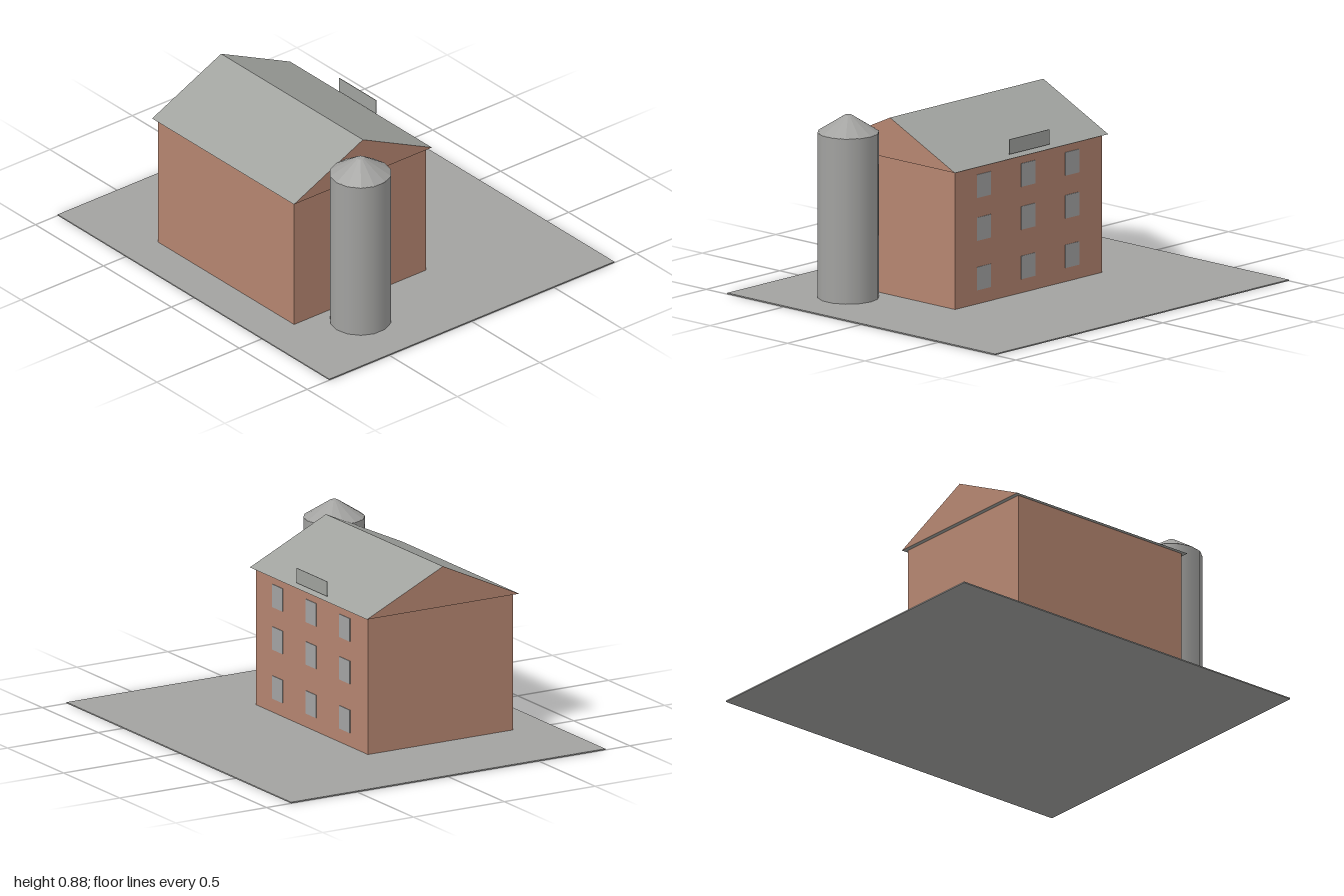
import * as THREE from 'three';

const mat = (name, color) => {
  const m = new THREE.MeshStandardMaterial({ color });
  m.name = name;
  return m;
};

export function createModel() {
  const brick = mat('brick', 0xb58570);
  const roofGrey = mat('roof grey', 0xa0a29e);
  const concrete = mat('concrete', 0xa2a2a0);
  const metal = mat('silo metal', 0xa2a2a0);
  const glass = mat('window grey', 0xa4a4a4);

  const model = new THREE.Group();
  const add = (name, geometry, material, x, y, z, parent = model) => {
    const mesh = new THREE.Mesh(geometry, material);
    mesh.name = name;
    mesh.position.set(x, y, z);
    parent.add(mesh);
    return mesh;
  };

  // Yard slab
  add('ground', new THREE.BoxGeometry(2, 0.006, 1.73), concrete, 0, 0.003, 0);

  // Main building
  const midZ = 0.267, backZ = -0.133, wallTop = 0.672;
  add('walls', new THREE.BoxGeometry(1, wallTop - 0.006, 0.8), brick, 0, (wallTop + 0.006) / 2, midZ);

  // Gabled roof: brick ends, grey slopes
  const gable = new THREE.Shape([
    new THREE.Vector2(-0.419, 0),
    new THREE.Vector2(0.419, 0),
    new THREE.Vector2(0, 0.196),
  ]);
  const roofGeo = new THREE.ExtrudeGeometry(gable, { depth: 1.044, bevelEnabled: false });
  roofGeo.translate(0, 0, -0.522).rotateY(Math.PI / 2);
  add('roof', roofGeo, [brick, roofGrey], 0, wallTop, midZ);

  // Three rows of windows on the back wall
  const windows = new THREE.Group();
  windows.name = 'backWindows';
  model.add(windows);
  const pane = new THREE.BoxGeometry(0.095, 0.112, 0.004);
  for (const y of [0.128, 0.367, 0.574]) {
    for (const x of [-0.295, 0.005, 0.305]) add('window', pane, glass, x, y, backZ - 0.001, windows);
  }

  // Thin board above the back eave
  add('roofBoard', new THREE.BoxGeometry(0.272, 0.072, 0.003), roofGrey, -0.003, 0.725, backZ - 0.001);

  // Silo with a blunt conical cap
  const silo = new THREE.Group();
  silo.name = 'silo';
  silo.position.set(0.665, 0, 0.4);
  model.add(silo);
  add('siloBody', new THREE.CylinderGeometry(0.145, 0.145, 0.8, 14), metal, 0, 0.403, 0, silo);
  const cap = new THREE.CylinderGeometry(0.018, 0.146, 0.082, 14).toNonIndexed();
  cap.computeVertexNormals();
  add('siloCap', cap, metal, 0, 0.843, 0, silo);

  return model;
}
